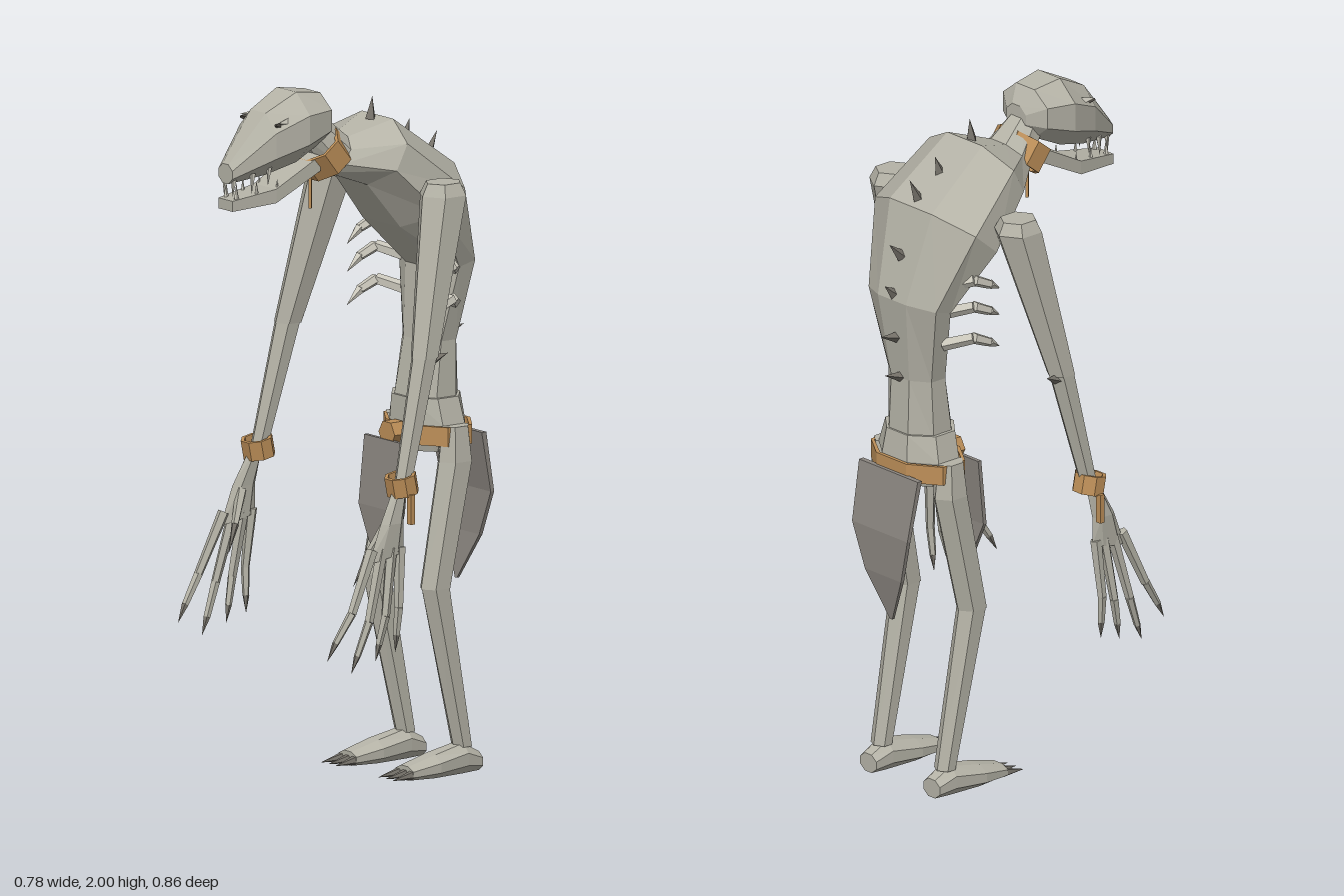
import * as THREE from 'three';

const material = (name, color) => {
  const m = new THREE.MeshStandardMaterial({ color, flatShading: true });
  m.name = name;
  return m;
};

// Joins rings [x, y, z, radiusX, radiusDepth, tilt]; tilt 0 lies flat, PI/2 faces forward.
function loft(rings, n = 8, capped = true) {
  const pos = [], index = [];
  const k = n % 4 === 0 ? 1 / Math.cos(Math.PI / n) : 1;
  for (const [x, y, z, rx, rd, tilt = 0] of rings) {
    for (let i = 0; i < n; i++) {
      const a = (i + 0.5) * 2 * Math.PI / n, d = rd * k * Math.sin(a);
      pos.push(x + rx * k * Math.cos(a), y + d * Math.sin(tilt), z + d * Math.cos(tilt));
    }
  }
  for (let r = 0; r < rings.length - 1; r++) {
    for (let i = 0; i < n; i++) {
      const a = r * n + i, b = r * n + (i + 1) % n;
      index.push(a, b, b + n, a, b + n, a + n);
    }
  }
  if (capped) {
    const last = (rings.length - 1) * n;
    for (let i = 1; i < n - 1; i++) index.push(0, i + 1, i, last, last + i, last + i + 1);
  }
  // Turn the faces outward if the enclosed volume is negative
  const p = i => new THREE.Vector3().fromArray(pos, index[i] * 3);
  let volume = 0;
  for (let i = 0; i < index.length; i += 3) volume += p(i).dot(p(i + 1).cross(p(i + 2)));
  if (volume < 0) index.reverse();
  const g = new THREE.BufferGeometry();
  g.setAttribute('position', new THREE.Float32BufferAttribute(pos, 3));
  g.setIndex(index);
  const flat = g.toNonIndexed();
  flat.computeVertexNormals();
  return flat;
}

// Hollow band around an axis tilted in the side plane
function band(x, y, z, rx, rd, height, tilt = 0, n = 8) {
  const h = height / 2, t = 0.01;
  const ring = (s, inset) => [x, y + s * h * Math.cos(tilt), z - s * h * Math.sin(tilt), rx - inset, rd - inset, tilt];
  return loft([ring(-1, 0), ring(1, 0), ring(1, t), ring(-1, t), ring(-1, 0)], n, false);
}

// Tapered rod from one point to another
function rod(from, to, r0, r1 = 0, n = 5) {
  const a = new THREE.Vector3(...from), b = new THREE.Vector3(...to), d = b.clone().sub(a);
  const g = new THREE.CylinderGeometry(r1, r0, d.length(), n);
  g.applyQuaternion(new THREE.Quaternion().setFromUnitVectors(new THREE.Vector3(0, 1, 0), d.normalize()));
  return g.translate(...a.add(b).multiplyScalar(0.5).toArray());
}

export function createModel() {
  const model = new THREE.Group();
  const skin = material('ashen skin', 0xb4b2a6);
  const bone = material('pale bone', 0xc9c6ba);
  const claw = material('dark claw', 0x77736b);
  const cloth = material('worn cloth', 0x8b8680);
  const leather = material('tan leather', 0xbd8f58);
  const eyeDark = material('eye', 0x4a4640);
  const add = (name, geometry, mat) => {
    const m = new THREE.Mesh(geometry, mat);
    m.name = name;
    model.add(m);
    return m;
  };
  const F = Math.PI / 2;

  // Hunched torso running up into the neck
  add('torso', loft([
    [0, 1.06, -0.275, 0.095, 0.083, 0], [0, 1.235, -0.288, 0.09, 0.063, 0],
    [0, 1.46, -0.315, 0.14, 0.07, -0.25], [0, 1.66, -0.215, 0.21, 0.125, -0.7],
    [0, 1.80, -0.06, 0.175, 0.1, -1.1], [0, 1.80, 0.06, 0.075, 0.06, -0.9],
    [0, 1.89, 0.14, 0.045, 0.045, -0.7]]), skin);
  add('pelvis', loft([[0, 0.92, -0.28, 0.09, 0.075], [0, 1.0, -0.28, 0.125, 0.093],
    [0, 1.075, -0.275, 0.105, 0.088]]), skin);

  // Spikes down the spine: base y, z, then tip y, z
  for (const [y, z, ty, tz] of [[1.88, -0.08, 1.945, -0.087], [1.81, -0.2, 1.865, -0.218],
    [1.75, -0.28, 1.82, -0.315], [1.6, -0.345, 1.645, -0.392], [1.49, -0.37, 1.525, -0.41],
    [1.36, -0.36, 1.375, -0.425], [1.235, -0.34, 1.255, -0.41]])
    add('spineSpike', rod([0, y, z], [0, ty, tz], 0.018, 0, 4), claw);

  // Skull and jaw
  add('skull', loft([[0, 1.905, 0.09, 0.04, 0.035, F], [0, 1.915, 0.125, 0.092, 0.072, F],
    [0, 1.9, 0.215, 0.11, 0.1, F], [0, 1.862, 0.315, 0.085, 0.088, F],
    [0, 1.785, 0.43, 0.032, 0.028, F]]), skin);
  add('jaw', loft([[0, 1.79, 0.14, 0.06, 0.022, F], [0, 1.712, 0.29, 0.052, 0.02, F],
    [0, 1.696, 0.43, 0.033, 0.015, F]], 4), skin);

  // Neck collar with a hanging pendant
  add('collar', band(0, 1.805, 0.098, 0.086, 0.07, 0.075, -0.67), leather);
  add('pendant', rod([0, 1.75, 0.132], [0, 1.65, 0.132], 0.006, 0.006, 4), leather);

  // Belt, buckle and loincloths
  add('belt', band(0, 0.972, -0.283, 0.15, 0.102, 0.055), leather);
  add('buckle', new THREE.CylinderGeometry(0.038, 0.038, 0.045, 6)
    .rotateY(F).rotateX(F).translate(0, 0.972, -0.16), leather);
  add('frontCloth', loft([[0, 0.955, -0.14, 0.1, 0.006], [0, 0.76, -0.12, 0.1, 0.006],
    [0.005, 0.66, -0.122, 0.06, 0.006], [0.015, 0.57, -0.135, 0.005, 0.004]], 4), cloth);
  add('backCloth', loft([[0, 0.965, -0.388, 0.122, 0.008], [0, 0.79, -0.423, 0.115, 0.006],
    [-0.01, 0.66, -0.42, 0.075, 0.006], [-0.02, 0.525, -0.4, 0.005, 0.004]], 4), cloth);

  for (const s of [-1, 1]) {
    const side = s > 0 ? 'left' : 'right';
    const part = (name, g, mat) => add(side + name, g, mat);

    // Face details and teeth
    part('Eye', rod([s * 0.068, 1.915, 0.285], [s * 0.082, 1.922, 0.315], 0.013, 0.004, 4), eyeDark);
    part('BrowSpike', rod([s * 0.075, 1.925, 0.27], [s * 0.088, 1.928, 0.31], 0.013, 0, 4), bone);
    for (const [x, z, y, len] of [[0.02, 0.415, 1.77, 0.05], [0.042, 0.365, 1.785, 0.06], [0.052, 0.315, 1.8, 0.055]])
      part('UpperTooth', rod([s * x, y, z], [s * x, y - len, z + 0.005], 0.009), bone);
    for (const [x, z] of [[0.024, 0.41], [0.032, 0.345], [0.042, 0.28]])
      part('LowerTooth', rod([s * x, 1.71, z], [s * x, 1.76, z], 0.008), bone);

    // Ribs curling out and forward
    for (const y of [1.53, 1.45, 1.355]) {
      const w = 0.02 * (y - 1.355);
      const bend = [s * (0.178 + w), y + 0.02, -0.235], mid = [s * (0.182 + w), y - 0.005, -0.18];
      part('RibBase', rod([s * 0.11, y - 0.005, -0.29], bend, 0.019, 0.017), bone);
      part('RibMiddle', rod(bend, mid, 0.017, 0.014), bone);
      part('RibTip', rod(mid, [s * 0.163, y - 0.04, -0.12], 0.014), bone);
    }

    // Arm
    part('Shoulder', loft([[s * 0.26, 1.735, -0.14, 0.05, 0.055], [s * 0.26, 1.70, -0.14, 0.068, 0.073],
      [s * 0.318, 1.255, -0.03, 0.04, 0.043]], 6), skin);
    part('Forearm', loft([[s * 0.318, 1.26, -0.03, 0.037, 0.04],
      [s * 0.336, 0.88, 0.065, 0.025, 0.025]], 6), skin);
    part('ElbowSpike', rod([s * 0.325, 1.245, -0.05], [s * 0.335, 1.262, -0.1], 0.018, 0, 4), claw);

    // Bracelet with a hanging tag
    part('Bracelet', band(s * 0.334, 0.905, 0.063, 0.045, 0.042, 0.055, -0.2), leather);
    part('BraceletTag', new THREE.BoxGeometry(0.018, 0.085, 0.015).translate(s * 0.379, 0.84, 0.063), leather);

    // Hand with four long fingers and a thumb
    part('Palm', loft([[s * 0.336, 0.9, 0.07, 0.018, 0.022], [s * 0.345, 0.8, 0.105, 0.02, 0.04],
      [s * 0.345, 0.705, 0.125, 0.016, 0.062, -0.2]], 6), skin);
    for (const [z, bz, by, tz, ty] of [[0.175, 0.255, 0.56, 0.335, 0.43], [0.14, 0.195, 0.53, 0.25, 0.385],
      [0.107, 0.137, 0.54, 0.165, 0.41], [0.077, 0.09, 0.56, 0.095, 0.43]]) {
      const knuckle = [s * 0.357, by, bz], nail = [s * 0.35, ty + 0.05, bz + (tz - bz) * 0.65];
      part('Finger', rod([s * 0.345, 0.73, z], knuckle, 0.017, 0.013), skin);
      part('FingerEnd', rod(knuckle, nail, 0.013, 0.01), skin);
      part('FingerClaw', rod(nail, [s * 0.347, ty, tz], 0.01), claw);
    }
    part('Thumb', rod([s * 0.335, 0.79, 0.12], [s * 0.305, 0.7, 0.165], 0.016, 0.011), skin);
    part('ThumbClaw', rod([s * 0.305, 0.7, 0.165], [s * 0.29, 0.62, 0.2], 0.011), claw);

    // Leg
    part('Thigh', loft([[s * 0.13, 1.0, -0.28, 0.035, 0.045], [s * 0.13, 0.9, -0.28, 0.047, 0.057],
      [s * 0.137, 0.545, -0.205, 0.042, 0.05]], 6), skin);
    part('Shin', loft([[s * 0.137, 0.55, -0.205, 0.04, 0.048],
      [s * 0.132, 0.08, -0.302, 0.033, 0.029]], 6), skin);

    // Foot and toe claws
    part('Foot', loft([[s * 0.132, 0.033, -0.352, 0.034, 0.027, F], [s * 0.132, 0.047, -0.295, 0.042, 0.043, F],
      [s * 0.133, 0.036, -0.19, 0.052, 0.033, F], [s * 0.133, 0.026, -0.1, 0.042, 0.02, F]]), skin);
    for (const dx of [-0.03, 0, 0.03])
      part('ToeClaw', rod([s * 0.133 + dx, 0.024, -0.105], [s * 0.133 + dx * 1.1, 0.016, -0.032], 0.014), claw);
  }
  return model;
}
